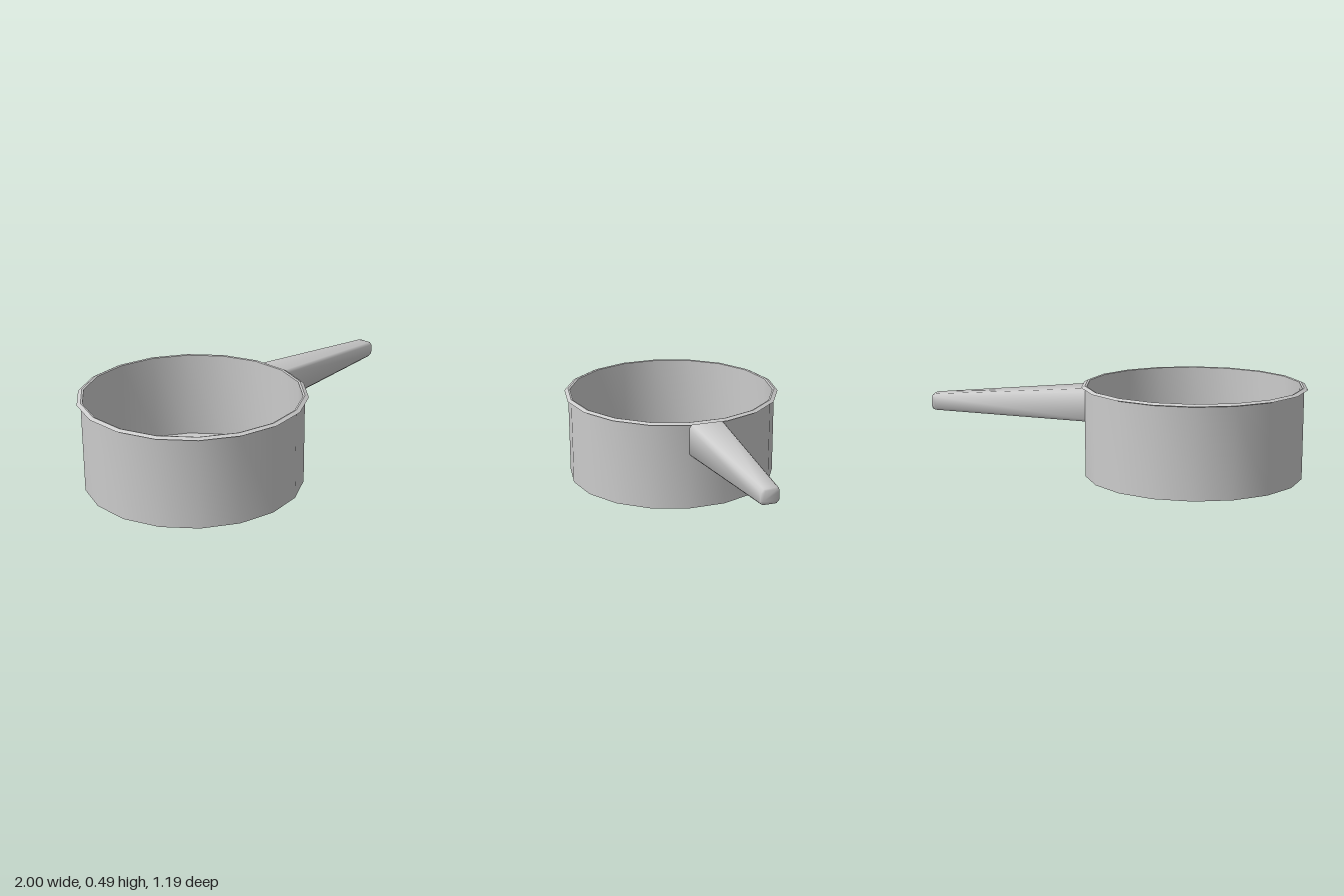
import * as THREE from 'three';
import { toCreasedNormals } from 'three/addons/utils/BufferGeometryUtils.js';

const SIDES = 18;
const CENTRE_X = -0.395;
const material = new THREE.MeshStandardMaterial({ color: 0xcccccc });

// Revolve a profile into an 18-sided ring with a corner on the x axis
function lathe(name, profile) {
  const points = profile.map(([r, y]) => new THREE.Vector2(r, y));
  const geometry = new THREE.LatheGeometry(points, SIDES, Math.PI / 2);
  const mesh = new THREE.Mesh(toCreasedNormals(geometry, 0.5), material);
  mesh.name = name;
  return mesh;
}

// Chamfered rectangle across the x axis, as eight corners
function section([x, y, halfHeight, halfWidth, c]) {
  const h = halfHeight, w = halfWidth;
  return [
    [w, -h + c], [w, h - c], [w - c, h], [-w + c, h],
    [-w, h - c], [-w, -h + c], [-w + c, -h], [w - c, -h],
  ].map(([z, dy]) => [x, y + dy, z]);
}

// Skin a row of sections and close both ends
function loft(rows) {
  const rings = rows.map(section);
  const n = 8, index = [];
  for (let i = 0; i < rings.length - 1; i++) {
    for (let j = 0; j < n; j++) {
      const a = i * n + j, b = i * n + (j + 1) % n;
      index.push(a, a + n, b, b, a + n, b + n);
    }
  }
  const last = (rings.length - 1) * n;
  for (let j = 1; j < n - 1; j++) {
    index.push(0, j, j + 1, last, last + j + 1, last + j);
  }
  const geometry = new THREE.BufferGeometry();
  geometry.setAttribute('position', new THREE.Float32BufferAttribute(rings.flat(2), 3));
  geometry.setIndex(index);
  return toCreasedNormals(geometry, 0.87);
}

export function createModel() {
  const model = new THREE.Group();
  model.name = 'saucepan';

  const pan = new THREE.Group();
  pan.name = 'pan';
  pan.position.x = CENTRE_X;
  model.add(pan);

  // Thin-walled pot with a flat floor and a sloped lip
  pan.add(lathe('potBody', [
    [0, 0], [0.585, 0], [0.585, 0.475], [0.605, 0.481],
    [0.585, 0.491], [0.575, 0.488], [0.575, 0.01], [0, 0.01],
  ]));

  // Tapered handle, square to the wall facet just behind the x axis
  const handle = new THREE.Mesh(loft([
    [0.569, 0.385, 0.09, 0.101, 0.016],
    [1.385, 0.385, 0.044, 0.051, 0.014],
    [1.402, 0.385, 0.04, 0.047, 0.014],
    [1.409, 0.385, 0.032, 0.039, 0.012],
  ]), material);
  handle.name = 'handle';
  handle.rotation.y = Math.PI / SIDES;
  pan.add(handle);

  return model;
}
